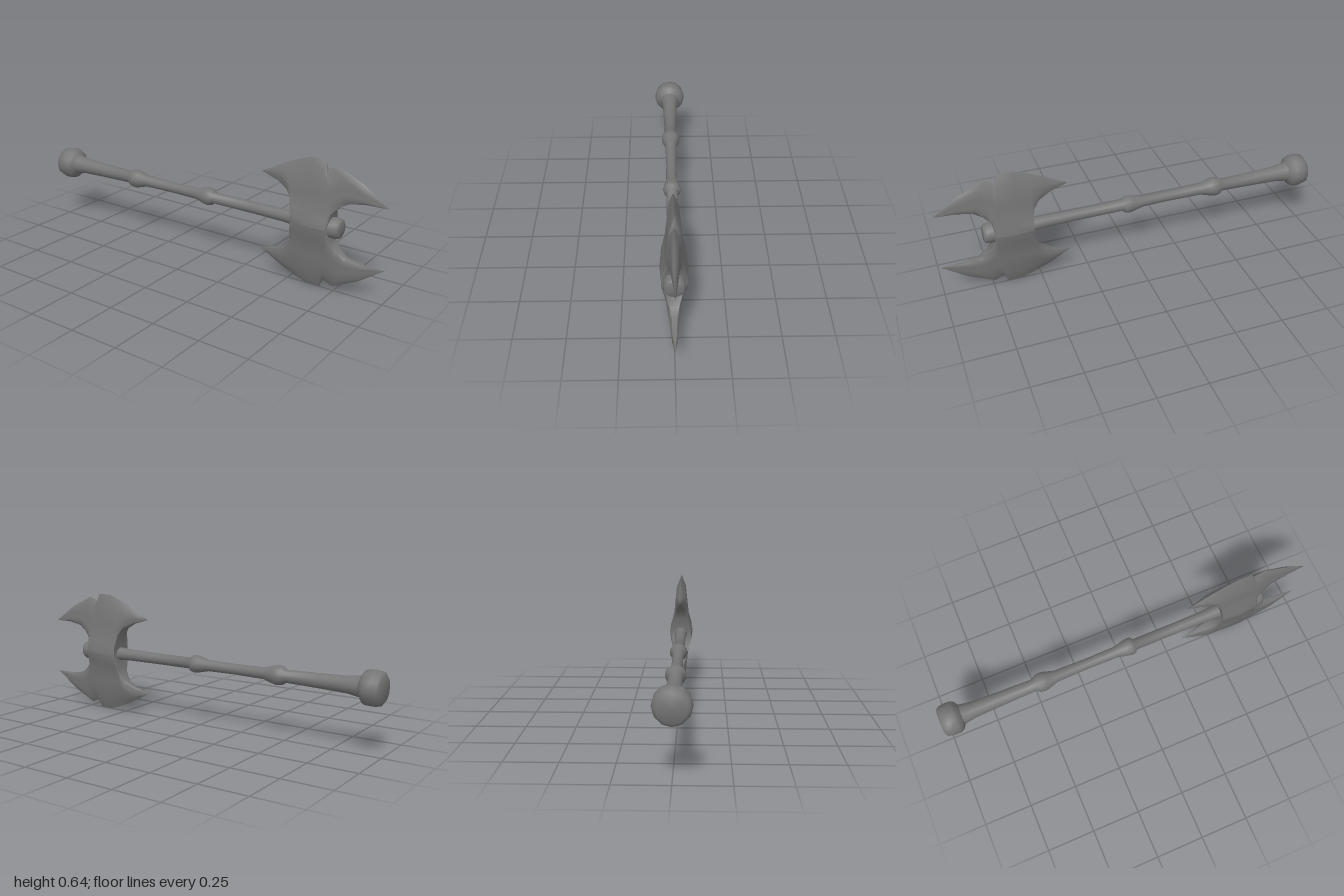
import * as THREE from 'three';
import { toCreasedNormals } from 'three/addons/utils/BufferGeometryUtils.js';

const material = new THREE.MeshStandardMaterial({ color: 0x757575 });

// Turned part along z, from [z, radius] pairs running back to front
function turned(name, profile, sides) {
  const points = profile.map(([z, r]) => new THREE.Vector2(r, z));
  const geometry = toCreasedNormals(new THREE.LatheGeometry(points, sides), 1.2);
  geometry.rotateX(Math.PI / 2);
  const mesh = new THREE.Mesh(geometry, material);
  mesh.name = name;
  return mesh;
}

// Half thickness of the head by height above the shaft axis
const THICKNESS = [
  [0, 0.066], [0.04, 0.06], [0.075, 0.046], [0.1, 0.041],
  [0.16, 0.036], [0.26, 0.026], [0.33, 0],
];
function halfThickness(y) {
  const i = THICKNESS.findIndex(([top]) => top > y);
  const [y0, t0] = THICKNESS[i - 1];
  const [y1, t1] = THICKNESS[i];
  return THREE.MathUtils.mapLinear(y, y0, y1, t0, t1);
}

// Blade columns, front tip to back tip:
// inner z, inner y, outer z, outer y, inner half thickness, thickness factor
const COLUMNS = [
  [1.0, 0.15, 1.0, 0.15, 0, 0],
  [0.89, 0.15, 0.87, 0.24, 0.008, 0.4],
  [0.81, 0.137, 0.74, 0.302, 0.013, 0.65],
  [0.765, 0.11, 0.7, 0.283, 0.022, 0.8],
  [0.73, 0.075, 0.69, 0.283, 0.036, 0.92],
  [0.72, 0, 0.675, 0.322, 0.06, 0.96],
  [0.62, 0, 0.6, 0.322, 0.066, 1],
  [0.53, 0, 0.53, 0.297, 0.058, 0.96],
  [0.525, 0.085, 0.465, 0.27, 0.034, 0.9],
  [0.5, 0.135, 0.425, 0.249, 0.018, 0.7],
  [0.43, 0.175, 0.385, 0.227, 0.009, 0.4],
  [0.335, 0.202, 0.335, 0.202, 0, 0],
];
// Row positions between the inner (0) and outer (1) edge
const ROWS = [0.12, 0.25, 0.5, 0.8];

function bladeGeometry() {
  const positions = [];
  const index = [];
  const ringSize = 2 * ROWS.length + 3;
  for (const [zi, yi, zo, yo, innerT, k] of COLUMNS) {
    const side = [
      [0, innerT],
      ...ROWS.map((s) => [s, k * halfThickness(yi + (yo - yi) * s)]),
    ];
    const ring = [...side, [1, 0], ...side.map(([s, t]) => [s, -t]).reverse()];
    for (const [s, x] of ring) {
      positions.push(x, yi + (yo - yi) * s, zi + (zo - zi) * s);
    }
  }
  const last = COLUMNS.length - 2;
  for (let i = 0; i <= last; i++) {
    for (let j = 0; j < ringSize; j++) {
      const a = i * ringSize + j;
      const b = i * ringSize + ((j + 1) % ringSize);
      const c = a + ringSize;
      const d = b + ringSize;
      // the tips collapse to a point, so they need only one triangle
      if (i > 0) index.push(a, c, b);
      if (i < last) index.push(b, c, d);
    }
  }
  const geometry = new THREE.BufferGeometry();
  geometry.setAttribute('position', new THREE.Float32BufferAttribute(positions, 3));
  geometry.setIndex(index);
  return toCreasedNormals(geometry, 1.1);
}

export function createModel() {
  const model = new THREE.Group();
  model.name = 'doubleAxe';
  const axe = new THREE.Group();
  axe.name = 'axe';
  axe.position.y = 0.325;
  model.add(axe);

  // Shaft with two swollen grip rings
  axe.add(turned('handle', [
    [-0.92, 0.056], [-0.88, 0.05], [-0.83, 0.042], [-0.7, 0.037], [-0.505, 0.032],
    [-0.485, 0.046], [-0.46, 0.05], [-0.435, 0.045], [-0.385, 0.03], [-0.2, 0.027],
    [-0.055, 0.029], [0.0, 0.042], [0.025, 0.046], [0.043, 0.042], [0.053, 0.029],
    [0.3, 0.029], [0.46, 0.031], [0.54, 0.036],
  ], 16));

  // Flared end knob
  axe.add(turned('pommel', [
    [-1.0, 0], [-1.0, 0.065], [-0.99, 0.079], [-0.96, 0.086],
    [-0.925, 0.085], [-0.908, 0.077], [-0.89, 0.05],
  ], 12));

  // Rounded cap where the shaft passes through the head
  axe.add(turned('frontCap', [
    [0.7, 0.05], [0.755, 0.051], [0.77, 0.046], [0.775, 0.038], [0.775, 0],
  ], 14));

  // Opposed notched blades, meeting in the thick middle of the head
  const geometry = bladeGeometry();
  ['upperBlade', 'lowerBlade'].forEach((name, i) => {
    const blade = new THREE.Mesh(geometry, material);
    blade.name = name;
    blade.rotation.z = i * Math.PI;
    axe.add(blade);
  });
  return model;
}
